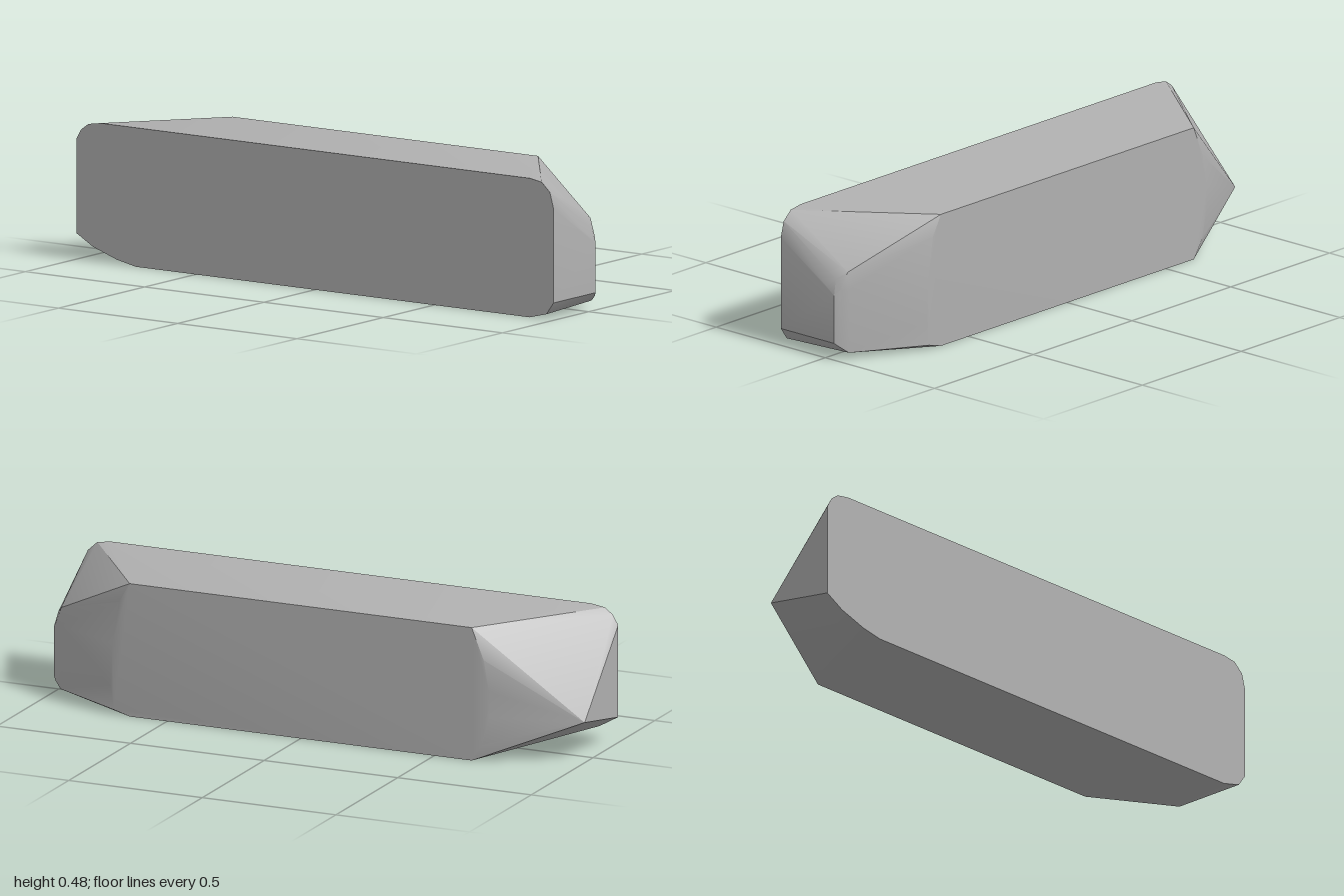
import * as THREE from 'three';
import { toCreasedNormals } from 'three/addons/utils/BufferGeometryUtils.js';
import { ConvexGeometry } from 'three/addons/geometries/ConvexGeometry.js';

// Points of a side outline, given as [y, z] at a fixed x
const side = (x, outline) => outline.map(([y, z]) => new THREE.Vector3(x, y, z));

export function createModel() {
  const grey = new THREE.MeshStandardMaterial({ color: 0xb0b0b0 });
  grey.name = 'grey';

  // Flat right side, rounded at its four corners
  const rightSide = side(-0.204, [
    [0.385, 1], [0.44, 0.985], [0.472, 0.95], [0.48, 0.9],
    [0.48, -0.9], [0.472, -0.95], [0.45, -0.98], [0.415, -1],
    [0.09, -1], [0.05, -0.93], [0.016, -0.83], [0, -0.75],
    [0, 0.9], [0.018, 0.97], [0.06, 1],
  ]);

  // Shorter left side, its ends bowed outwards
  const leftSide = side(0.204, [
    [0.47, 0.64], [0.4, 0.68], [0.25, 0.705], [0.1, 0.71], [0.017, 0.7], [0, 0.64],
    [0, -0.64], [0.06, -0.68], [0.16, -0.705], [0.25, -0.705], [0.36, -0.685], [0.47, -0.64],
  ]);

  // Blunt front face with its softened rim, then the single back point
  const ends = [
    [0.04, 0.06, 1], [0.04, 0.23, 1], [0, 0.262, 1],
    [0.035, 0.285, 0.985], [0.056, 0.25, 0.985], [0.056, 0.045, 0.985],
    [0.066, 0.31, 0.96], [0.072, 0.25, 0.96], [0.072, 0.024, 0.96],
    [0.068, 0.142, -1],
  ].map((p) => new THREE.Vector3(...p));

  const hull = new ConvexGeometry([...rightSide, ...leftSide, ...ends]);
  const bar = new THREE.Mesh(toCreasedNormals(hull, 0.5), grey);
  bar.name = 'chamferedBar';

  const model = new THREE.Group();
  model.name = 'bar';
  model.add(bar);
  return model;
}
